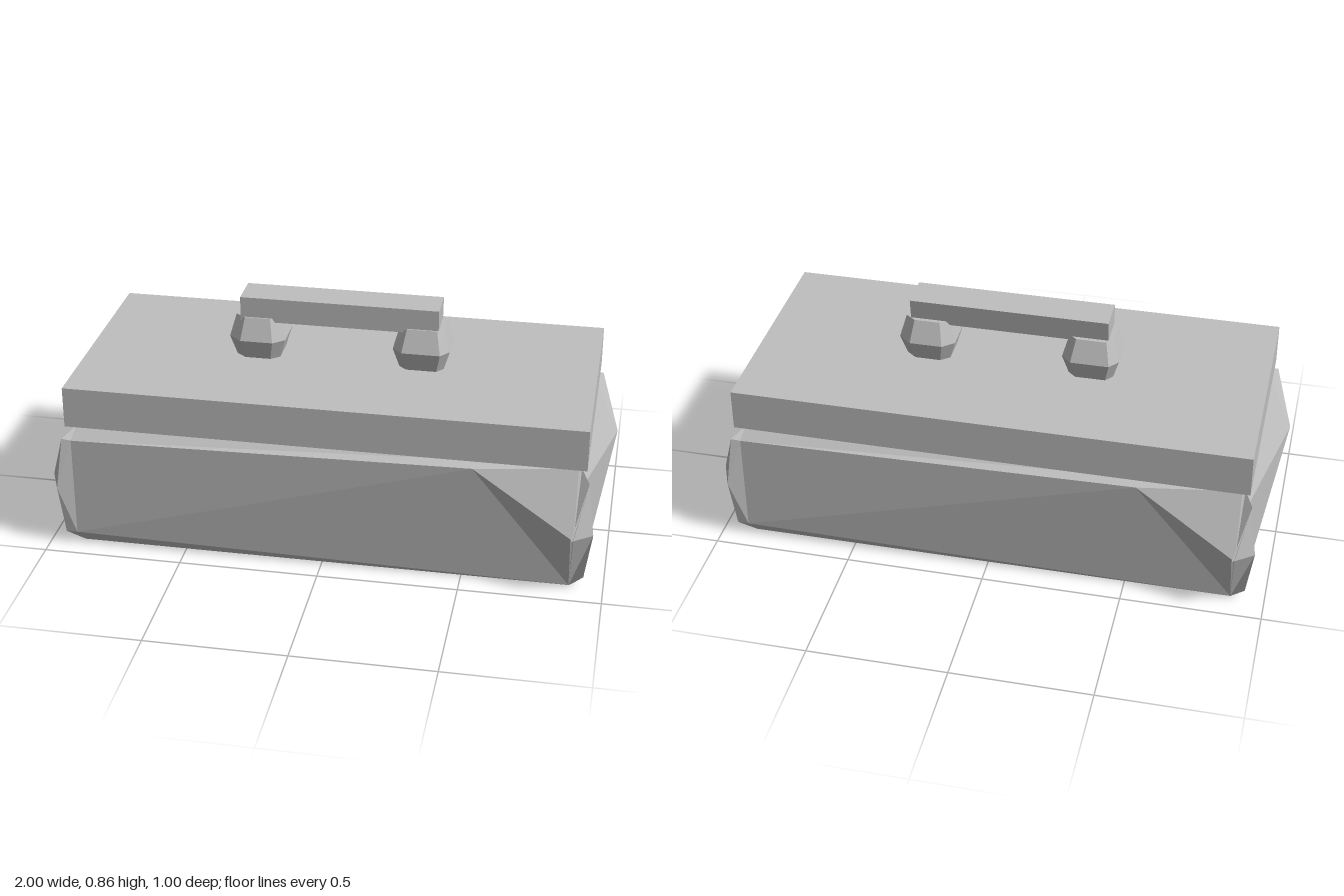
import * as THREE from 'three';

// Closed solid skinned over a ring of upright columns, each listing points from bottom to top.
// Columns run anticlockwise as seen from above, beginning at the front left.
function skinColumns(columns) {
  const pos = [];
  const tri = (a, b, c) => pos.push(...a, ...b, ...c);
  const levels = columns[0].length;
  const centre = (k) => [0, 1, 2].map((n) => columns.reduce((s, c) => s + c[k][n], 0) / columns.length);
  const low = centre(0), high = centre(levels - 1);
  columns.forEach((a, i) => {
    const b = columns[(i + 1) % columns.length];
    for (let k = 0; k < levels - 1; k++) {
      tri(a[k], b[k], b[k + 1]);
      tri(a[k], b[k + 1], a[k + 1]);
    }
    tri(low, b[0], a[0]);
    tri(high, a[levels - 1], b[levels - 1]);
  });
  const geo = new THREE.BufferGeometry();
  geo.setAttribute('position', new THREE.Float32BufferAttribute(pos, 3));
  geo.computeVertexNormals();
  return geo;
}

// Half of the body columns; the other half is the same turned by 180 degrees
function bodyGeometry() {
  const half = [
    // crest at the rear of the front left corner
    [[-0.88, 0, 0.385], [-0.88, 0, 0.385], [-1, 0.235, 0.35], [-1, 0.235, 0.35], [-0.89, 0.46, 0.385]],
    // front left corner
    [[-0.88, 0, 0.4], [-0.94, 0.045, 0.43], [-0.955, 0.235, 0.455], [-0.93, 0.43, 0.44], [-0.89, 0.46, 0.39]],
    // crease where the front begins
    [[-0.88, 0, 0.4], [-0.9, 0.045, 0.43], [-0.9, 0.045, 0.43], [-0.9, 0.42, 0.43], [-0.89, 0.46, 0.39]],
    // fold in the front
    [[0.88, 0, 0.4], [0.88, 0, 0.4], [0.88, 0, 0.4], [0.53, 0.45, 0.435], [0.53, 0.46, 0.39]],
    // bulge of the front right corner
    [[0.88, 0, 0.4], [0.88, 0, 0.4], [0.88, 0.235, 0.5], [0.89, 0.235, 0.495], [0.89, 0.46, 0.39]],
    // front right corner
    [[0.89, 0, 0.39], [0.93, 0.05, 0.42], [0.955, 0.235, 0.445], [0.93, 0.42, 0.42], [0.9, 0.46, 0.385]],
    // crease where the side begins
    [[0.89, 0, 0.385], [0.92, 0.045, 0.37], [0.92, 0.045, 0.37], [0.92, 0.42, 0.385], [0.9, 0.46, 0.385]],
  ];
  const turned = half.map((col) => col.map(([x, y, z]) => [-x, y, -z]));
  return skinColumns([...half, ...turned]);
}

// Faceted eight-sided foot, widest at half height
function footGeometry() {
  const rings = [[0.63, 0.08, 0.075], [0.705, 0.102, 0.102], [0.785, 0.08, 0.07]];
  const octagon = [[-1, 0.6], [-0.55, 1], [0.6, 1], [1, 0.65], [1, -0.65], [0.65, -1], [-0.7, -1], [-1, -0.6]];
  return skinColumns(octagon.map(([u, v]) => rings.map(([y, w, d]) => [u * w, y, v * d])));
}

export function createModel() {
  const model = new THREE.Group();
  model.name = 'lidded box';
  const grey = new THREE.MeshStandardMaterial({ color: 0xbfbfbf });
  grey.name = 'plain grey';
  grey.flatShading = true;

  const add = (name, geo, x = 0, y = 0, z = 0) => {
    const mesh = new THREE.Mesh(geo, grey);
    mesh.name = name;
    mesh.position.set(x, y, z);
    model.add(mesh);
    return mesh;
  };

  add('body', bodyGeometry());
  add('lid', new THREE.BoxGeometry(1.84, 0.15, 0.85), 0, 0.548, 0);

  // Handle bar, with its underside narrowed at the back
  const bar = new THREE.BoxGeometry(0.715, 0.09, 0.13);
  const p = bar.attributes.position;
  for (let i = 0; i < p.count; i++) {
    if (p.getY(i) < 0 && p.getZ(i) < 0) p.setZ(i, -0.053);
  }
  bar.computeVertexNormals();
  add('handleBar', bar, 0, 0.815, 0);

  // Handle feet, one the other turned round
  const foot = footGeometry();
  add('rightHandleFoot', foot, -0.297);
  add('leftHandleFoot', foot, 0.297).rotation.y = Math.PI;

  return model;
}
